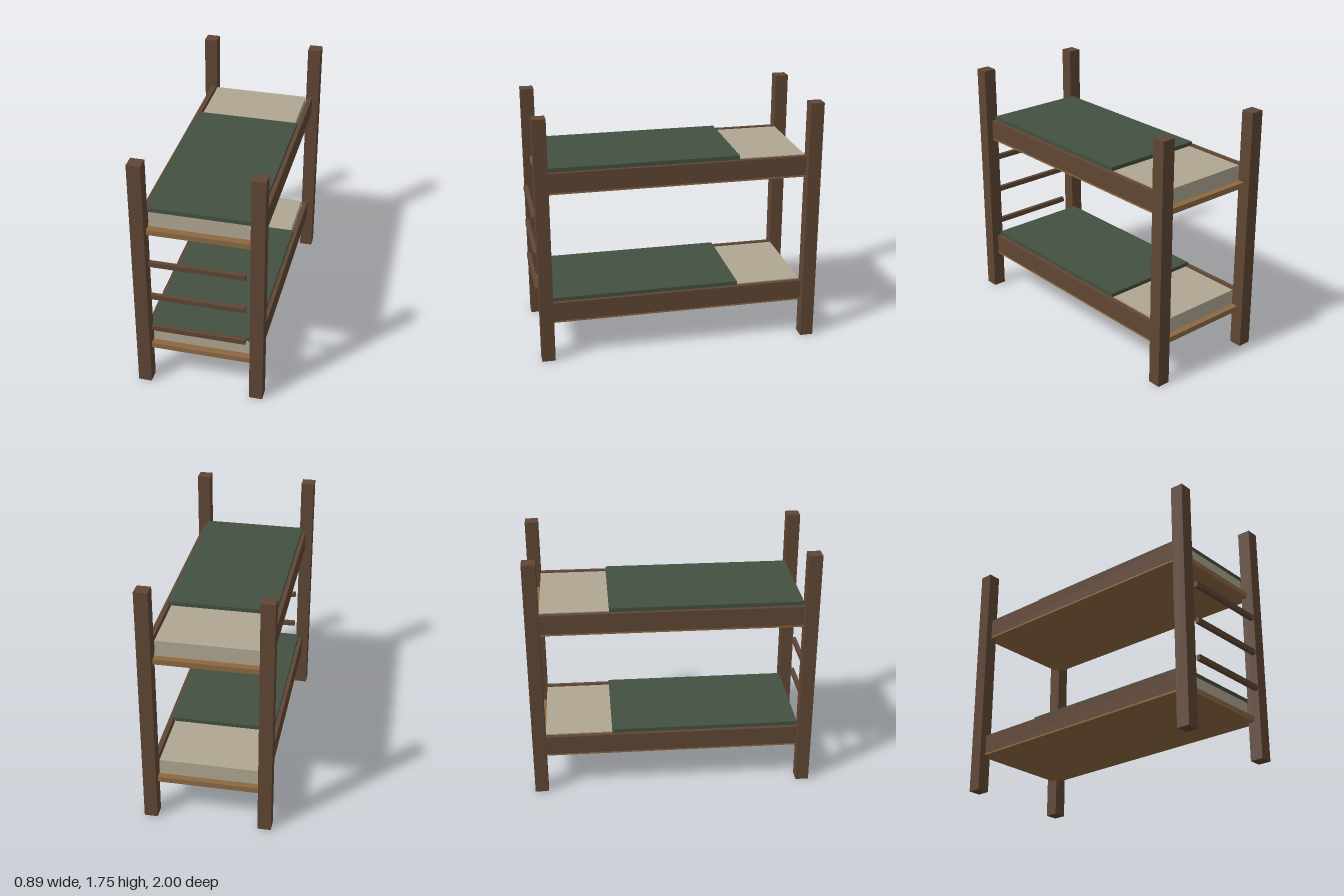
import * as THREE from 'three';

const mat = (name, color) => {
  const m = new THREE.MeshStandardMaterial({ color });
  m.name = name;
  return m;
};

export function createModel() {
  const darkWood = mat('dark wood', 0x5f4634);
  const lightWood = mat('light wood', 0x8c6841);
  const linen = mat('linen', 0xafa691);
  const green = mat('green wool', 0x435040);

  // Box given by its extents along each axis
  const box = (parent, name, material, [x0, x1], [y0, y1], [z0, z1]) => {
    const mesh = new THREE.Mesh(new THREE.BoxGeometry(x1 - x0, y1 - y0, z1 - z0), material);
    mesh.position.set((x0 + x1) / 2, (y0 + y1) / 2, (z0 + z1) / 2);
    mesh.name = name;
    parent.add(mesh);
  };

  const model = new THREE.Group();
  model.name = 'bunkBed';
  const back = -0.907, front = 0.893;

  // Four corner posts
  for (const s of [-1, 1]) {
    const x = [s * 0.397 - 0.0465, s * 0.397 + 0.0465];
    box(model, 'frontPost', darkWood, x, [0, 1.755], [front, 0.986]);
    box(model, 'backPost', darkWood, x, [0, 1.755], [-1, back]);
  }

  // Two bunks: base board, side rails, mattress and blanket
  for (const [name, y] of [['lowerBunk', 0.27], ['upperBunk', 1.217]]) {
    const bunk = new THREE.Group();
    bunk.name = name;
    bunk.position.y = y;
    box(bunk, 'baseBoard', lightWood, [-0.396, 0.396], [0, 0.038], [-0.954, 0.94]);
    box(bunk, 'leftRail', darkWood, [0.363, 0.397], [0.013, 0.15], [back, front]);
    box(bunk, 'rightRail', darkWood, [-0.397, -0.363], [0.013, 0.15], [back, front]);
    box(bunk, 'mattress', linen, [-0.347, 0.347], [0.038, 0.149], [back, front - 0.002]);
    box(bunk, 'blanket', green, [-0.369, 0.369], [0.149, 0.177], [-0.435, front]);
    model.add(bunk);
  }

  // Ladder rungs at the front end
  for (const y of [0.495, 0.761, 1.027]) {
    box(model, 'ladderRung', darkWood, [-0.323, 0.323], [y - 0.018, y + 0.018], [0.972, 1]);
  }
  return model;
}
